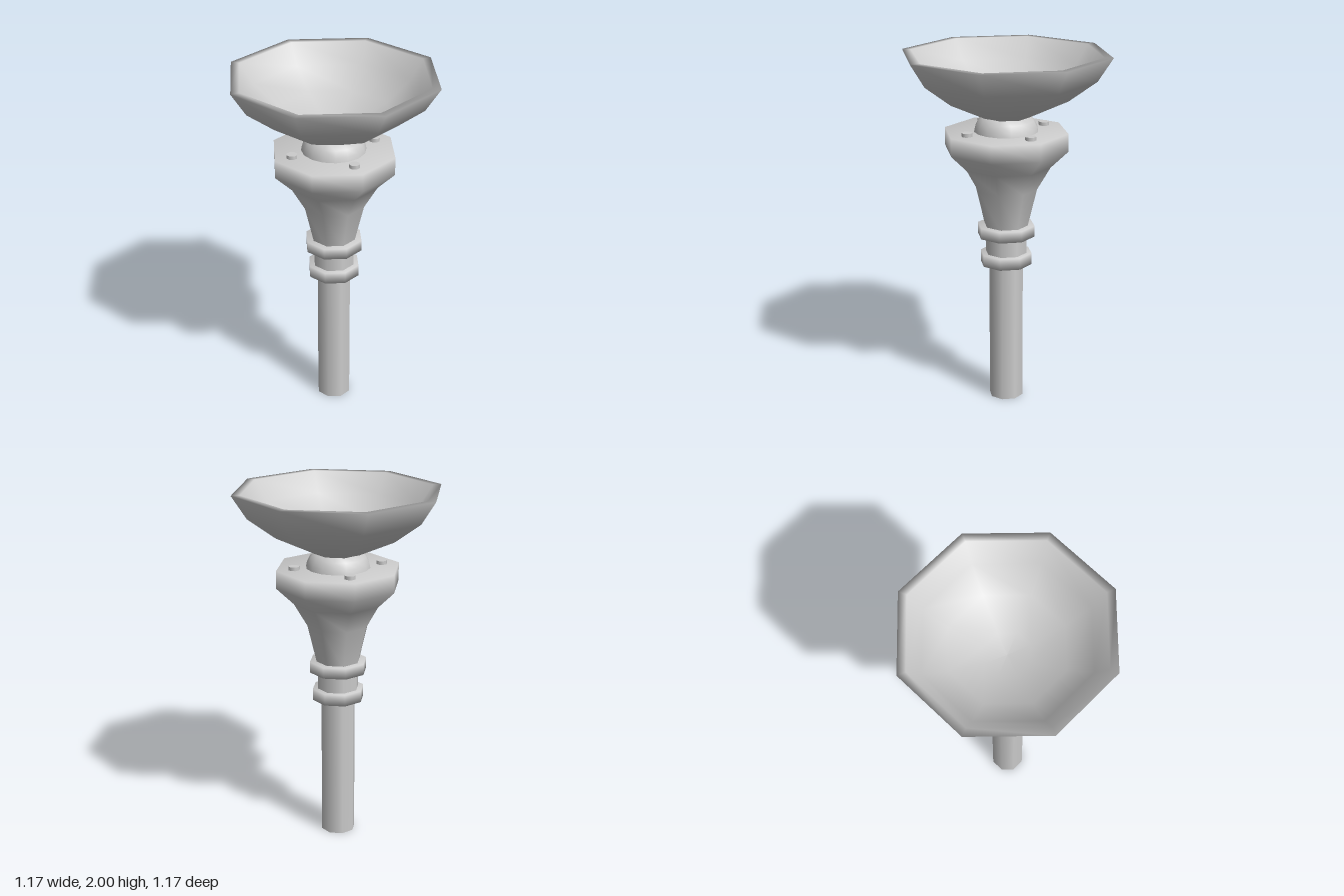
import * as THREE from 'three';

export function createModel() {
  const model = new THREE.Group();
  const stone = new THREE.MeshStandardMaterial({ color: 0xcccccc });
  stone.name = 'pale grey stone';

  function add(name, geometry, x = 0, y = 0, z = 0) {
    const mesh = new THREE.Mesh(geometry, stone);
    mesh.name = name;
    mesh.position.set(x, y, z);
    model.add(mesh);
  }

  // Turned part: [radius, height] pairs running up the outside
  function turned(name, profile, sides = 8) {
    const points = profile.map(([r, y]) => new THREE.Vector2(r, y));
    add(name, new THREE.LatheGeometry(points, sides));
  }

  // Straight octagonal pole
  add('pole', new THREE.CylinderGeometry(0.097, 0.097, 0.85, 8), 0, 0.425, 0);

  // Two collars with a neck between them
  turned('lowerCollar', [[0, 0.81], [0.147, 0.81], [0.147, 0.875], [0, 0.875]]);
  turned('neck', [[0.117, 0.85], [0.117, 1.0]]);
  turned('upperCollar', [[0, 0.975], [0.163, 0.975], [0.163, 1.037], [0, 1.037]]);

  // Flared head with a flat top
  turned('flaredHead', [
    [0.12, 1.02], [0.175, 1.25], [0.25, 1.38], [0.347, 1.475], [0.347, 1.575], [0, 1.575],
  ]);

  // Four bolts on the head
  for (const x of [-0.175, 0.175]) {
    for (const z of [-0.175, 0.175]) {
      add('bolt', new THREE.CylinderGeometry(0.03, 0.03, 0.04, 8), x, 1.575, z);
    }
  }

  // Rounded knob carrying the bowl
  turned('knob', [[0.178, 1.57], [0.172, 1.6], [0.155, 1.635], [0.12, 1.67], [0, 1.69]], 16);

  // Bowl: outside up, over the lip, then down the inside
  turned('bowl', [
    [0, 1.65], [0.13, 1.655], [0.345, 1.755], [0.5, 1.87], [0.583, 2],
    [0.535, 2], [0.46, 1.89], [0.32, 1.785], [0.13, 1.71], [0, 1.7],
  ]);

  return model;
}
